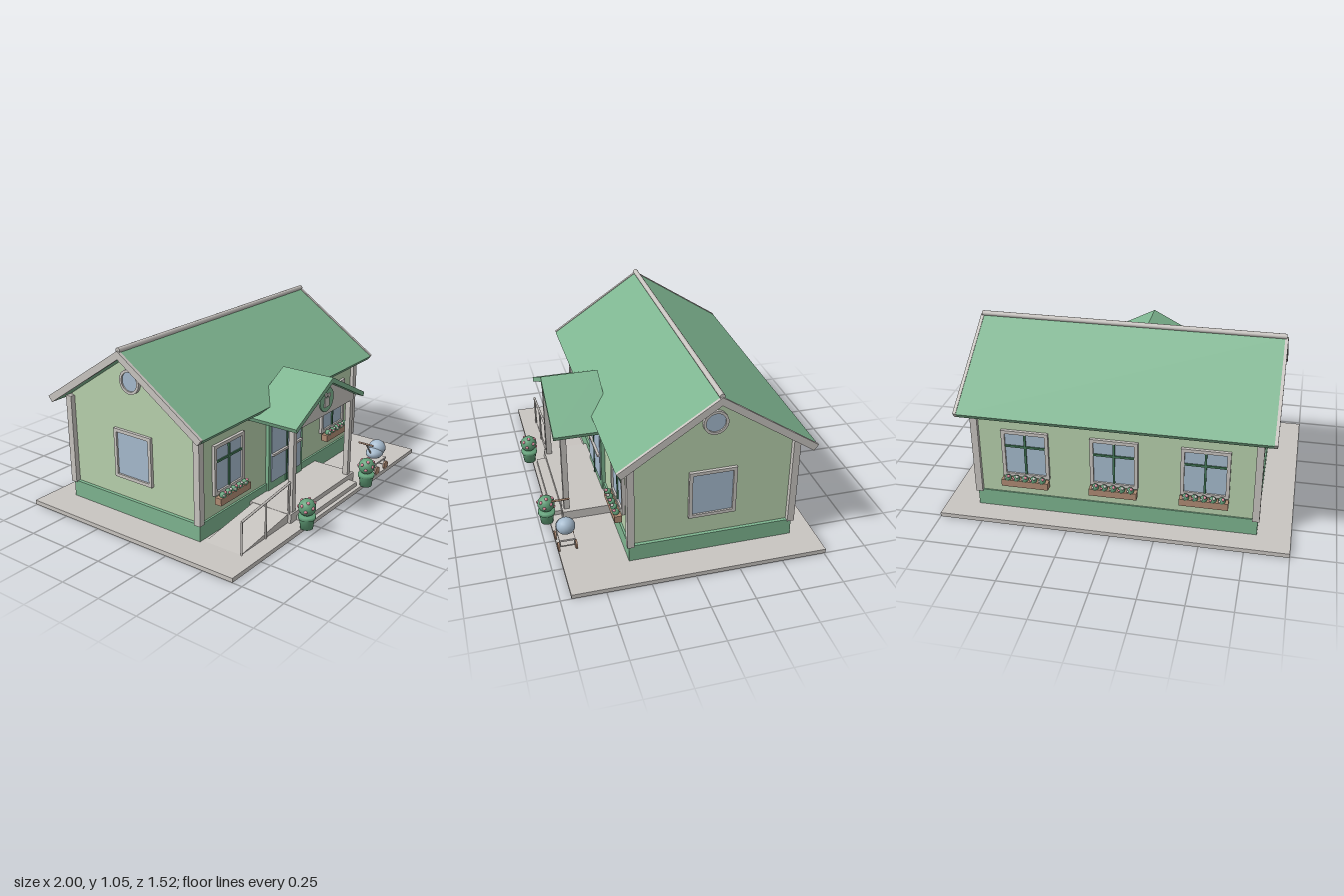
import * as THREE from 'three';

const mat = (name, color) => Object.assign(new THREE.MeshStandardMaterial({ color }), { name });

export function createModel() {
  const wall = mat('pale green wall', 0xb8d1ad);
  const green = mat('roof green', 0x7eb590);
  const trim = mat('warm grey trim', 0xc9c5c1);
  const glass = mat('blue glass', 0xa6bbce);
  const darkGreen = mat('dark green bars', 0x447a59);
  const leaf = mat('leaf green', 0x62a079);
  const brown = mat('brown wood', 0xb08c74);
  const pink = mat('pink flower', 0xd88a9c);

  const root = new THREE.Group();
  root.name = 'house';
  const group = (name, parent = root) => {
    const g = new THREE.Group();
    g.name = name;
    parent.add(g);
    return g;
  };
  const add = (name, geo, m, x = 0, y = 0, z = 0, parent = root) => {
    const mesh = new THREE.Mesh(geo, m);
    mesh.name = name;
    mesh.position.set(x, y, z);
    parent.add(mesh);
    return mesh;
  };
  // Box given by its minimum and maximum on each axis
  const box = (name, m, x0, x1, y0, y1, z0, z1, parent = root) =>
    add(name, new THREE.BoxGeometry(x1 - x0, y1 - y0, z1 - z0), m,
      (x0 + x1) / 2, (y0 + y1) / 2, (z0 + z1) / 2, parent);
  const ball = (name, m, r, x, y, z, parent) =>
    add(name, new THREE.SphereGeometry(r, 16, 12), m, x, y, z, parent);
  const extrude = (pts, depth) => new THREE.ExtrudeGeometry(
    new THREE.Shape(pts.map(p => new THREE.Vector2(...p))), { depth, bevelEnabled: false });
  // Outline of (z, y) points extruded along x, centred on x = 0
  const alongX = (pts, length) =>
    extrude(pts, length).translate(0, 0, -length / 2).rotateY(-Math.PI / 2);
  // Round bar between two points
  const bar = (name, m, r, a, b, parent = root) =>
    add(name, new THREE.TubeGeometry(
      new THREE.LineCurve3(new THREE.Vector3(...a), new THREE.Vector3(...b)), 1, r, 8), m, 0, 0, 0, parent);

  // Ground slab, plinth and walls
  box('groundSlab', trim, -1, 1, 0, 0.025, -0.76, 0.69);
  box('plinth', green, -0.81, 0.81, 0.025, 0.125, -0.62, 0.33);
  const c = -0.147;
  add('walls', alongX([[0.318, 0.12], [0.318, 0.673], [c, 0.984], [-0.612, 0.673], [-0.612, 0.12]], 1.58), wall);
  for (const x of [-0.8, 0.8]) for (const z of [-0.614, 0.32])
    box('cornerPost', trim, x - 0.02, x + 0.02, 0.12, 0.66, z - 0.02, z + 0.02);
  for (const z of [-0.617, 0.323]) box('eaveFrieze', trim, -0.79, 0.79, 0.635, 0.665, z - 0.01, z + 0.01);

  // Main roof with trimmed gable ends and round ridge
  const chevron = (t, inset) => [
    [c, 1.03 - inset], [0.41, 0.66 - inset], [0.385, 0.627], [c, 1.03 - t],
    [2 * c - 0.385, 0.627], [2 * c - 0.41, 0.66 - inset]];
  add('mainRoof', alongX(chevron(0.045, 0.004), 1.74), green);
  for (const s of [-1, 1]) add('gableTrim', alongX(chevron(0.047, 0), 0.018), trim, s * 0.879);
  add('ridgeCap', new THREE.CylinderGeometry(0.015, 0.015, 1.76, 12).rotateZ(Math.PI / 2), trim, 0, 1.032, c);

  // Small round leaves and flowers filling a window box
  function boxPlants(parent) {
    for (let i = 0; i < 5; i++) {
      const x = -0.1 + i * 0.05;
      ball('boxLeaves', leaf, 0.02, x, 0.25, 0.045, parent);
      ball('boxFlower', i % 2 ? trim : pink, 0.009, x + 0.007, 0.266, 0.055, parent);
      ball('boxFlower', i % 2 ? pink : trim, 0.007, x - 0.012, 0.255, 0.061, parent);
    }
  }

  // Framed window on a wall plane, optionally with bars and a planted box
  function makeWindow(name, x, z, turn, planted) {
    const g = group(name);
    g.position.set(x, 0, z);
    g.rotation.y = turn;
    const w = 0.136, y0 = 0.245, y1 = 0.54, t = 0.02;
    box('glass', glass, -w + t, w - t, y0 + t, y1 - t, 0, 0.007, g);
    for (const s of [-1, 1])
      box('frameSide', trim, s * (w - t / 2) - t / 2, s * (w - t / 2) + t / 2, y0, y1, 0, 0.018, g);
    box('frameTop', trim, -w + t, w - t, y1 - t, y1, 0, 0.018, g);
    box('frameBottom', trim, -w + t, w - t, y0, y0 + t, 0, 0.018, g);
    if (!planted) return;
    box('uprightBar', darkGreen, -0.006, 0.006, y0 + t, y1 - t, 0.007, 0.015, g);
    box('crossBar', darkGreen, -w + t, w - t, 0.434, 0.446, 0.007, 0.015, g);
    box('flowerBox', brown, -w, w, 0.2, 0.242, 0.018, 0.06, g);
    boxPlants(g);
  }
  for (const x of [-0.547, 0.547]) makeWindow('frontWindow', x, 0.318, 0, true);
  for (const x of [-0.51, 0, 0.51]) makeWindow('backWindow', x, -0.612, Math.PI, true);
  for (const s of [-1, 1]) {
    makeWindow('sideWindow', s * 0.79, -0.145, s * Math.PI / 2, false);
    const g = group('roundWindow');
    g.position.set(s * 0.79, 0.835, c);
    g.rotation.y = s * Math.PI / 2;
    add('roundGlass', new THREE.CylinderGeometry(0.056, 0.056, 0.01, 32).rotateX(Math.PI / 2), glass, 0, 0, 0.004, g);
    const ring = new THREE.Shape().absarc(0, 0, 0.07, 0, Math.PI * 2);
    ring.holes.push(new THREE.Path().absarc(0, 0, 0.055, 0, Math.PI * 2, true));
    add('roundFrame', new THREE.ExtrudeGeometry(ring, { depth: 0.018, bevelEnabled: false, curveSegments: 24 }), trim, 0, 0, 0, g);
  }

  // Glazed double door
  const door = group('door');
  box('doorPanel', green, -0.18, 0.18, 0.08, 0.565, 0.31, 0.34, door);
  for (const s of [-1, 1])
    box('doorGlass', glass, s * 0.081 - 0.075, s * 0.081 + 0.075, 0.13, 0.55, 0.34, 0.345, door);
  box('doorSplit', darkGreen, -0.006, 0.006, 0.09, 0.55, 0.34, 0.35, door);
  box('pushBar', trim, -0.155, 0.155, 0.298, 0.312, 0.345, 0.36, door);

  // Porch floor, step, ramp and handrail
  box('porchFloor', trim, -0.35, 0.35, 0.025, 0.08, 0.32, 0.61);
  box('porchStep', trim, -0.29, 0.29, 0.025, 0.052, 0.61, 0.667);
  add('ramp', extrude([[-0.79, 0.025], [-0.35, 0.025], [-0.35, 0.078]], 0.24), trim, 0, 0, 0.35);
  const rail = [[-0.79, 0.22], [-0.57, 0.244], [-0.345, 0.27]];
  for (const [x, y] of rail) bar('railPost', trim, 0.006, [x, 0.025, 0.593], [x, y, 0.593]);
  bar('handrail', trim, 0.007, [-0.795, 0.219, 0.593], [-0.34, 0.271, 0.593]);

  // Porch posts, pediment and pitched roof running back into the main roof
  for (const s of [-1, 1]) box('porchPost', trim, s * 0.305 - 0.016, s * 0.305 + 0.016, 0.08, 0.59, 0.567, 0.6);
  add('pediment', extrude([[-0.32, 0.567], [0.32, 0.567], [0.32, 0.607], [0, 0.768], [-0.32, 0.607]], 0.036), trim, 0, 0, 0.566);
  add('porchRoof', extrude([[0, 0.8], [-0.37, 0.607], [-0.36, 0.583], [0, 0.768], [0.36, 0.583], [0.37, 0.607]], 0.335), green, 0, 0, 0.31);
  add('pedimentDisc', new THREE.CylinderGeometry(0.072, 0.072, 0.008, 32).rotateX(Math.PI / 2), green, 0, 0.662, 0.606);
  box('discPlate', trim, -0.03, 0.02, 0.62, 0.675, 0.609, 0.614);
  for (const [x, y] of [[-0.012, 0.692], [0.02, 0.685]])
    add('discDot', new THREE.CylinderGeometry(0.013, 0.013, 0.005, 16).rotateX(Math.PI / 2), trim, x, y, 0.612);

  // Potted round bushes with flowers spread evenly over each
  for (const s of [-1, 1]) {
    const g = group('planter');
    g.position.set(s * 0.335, 0, 0.706);
    add('pot', new THREE.LatheGeometry([[0, 0.025], [0.036, 0.025], [0.043, 0.085], [0.049, 0.085],
      [0.049, 0.106], [0, 0.106]].map(p => new THREE.Vector2(...p)), 24), leaf, 0, 0, 0, g);
    ball('bush', leaf, 0.05, 0, 0.152, 0, g);
    for (let i = 0; i < 11; i++) {
      const h = 0.9 - i * 0.12, r = Math.sqrt(1 - h * h), a = i * 2.4;
      ball('bushFlower', pink, 0.01, 0.047 * r * Math.cos(a), 0.152 + 0.047 * h, 0.047 * r * Math.sin(a), g);
    }
  }

  // Pram with hood, chassis, wheels and handle
  const pram = group('pram');
  pram.position.z = 0.638;
  ball('pramBody', glass, 0.055, 0.562, 0.145, 0, pram).scale.set(1.18, 0.66, 0.95);
  ball('pramHood', glass, 0.05, 0.592, 0.168, 0, pram).scale.z = 1.08;
  box('pramChassis', trim, 0.497, 0.632, 0.09, 0.101, -0.045, 0.045, pram);
  for (const x of [0.51, 0.62]) {
    bar('pramAxle', trim, 0.004, [x, 0.051, -0.05], [x, 0.051, 0.05], pram);
    for (const z of [-0.05, 0.05]) {
      add('pramWheel', new THREE.CylinderGeometry(0.026, 0.026, 0.01, 20).rotateX(Math.PI / 2), brown, x, 0.051, z, pram);
      bar('pramLeg', trim, 0.004, [x, 0.051, z * 0.82], [x, 0.095, z * 0.82], pram);
    }
  }
  bar('handleArm', trim, 0.005, [0.53, 0.13, 0], [0.445, 0.24, 0], pram);
  bar('handleGrip', brown, 0.006, [0.445, 0.24, -0.052], [0.445, 0.24, 0.052], pram);

  return root;
}
